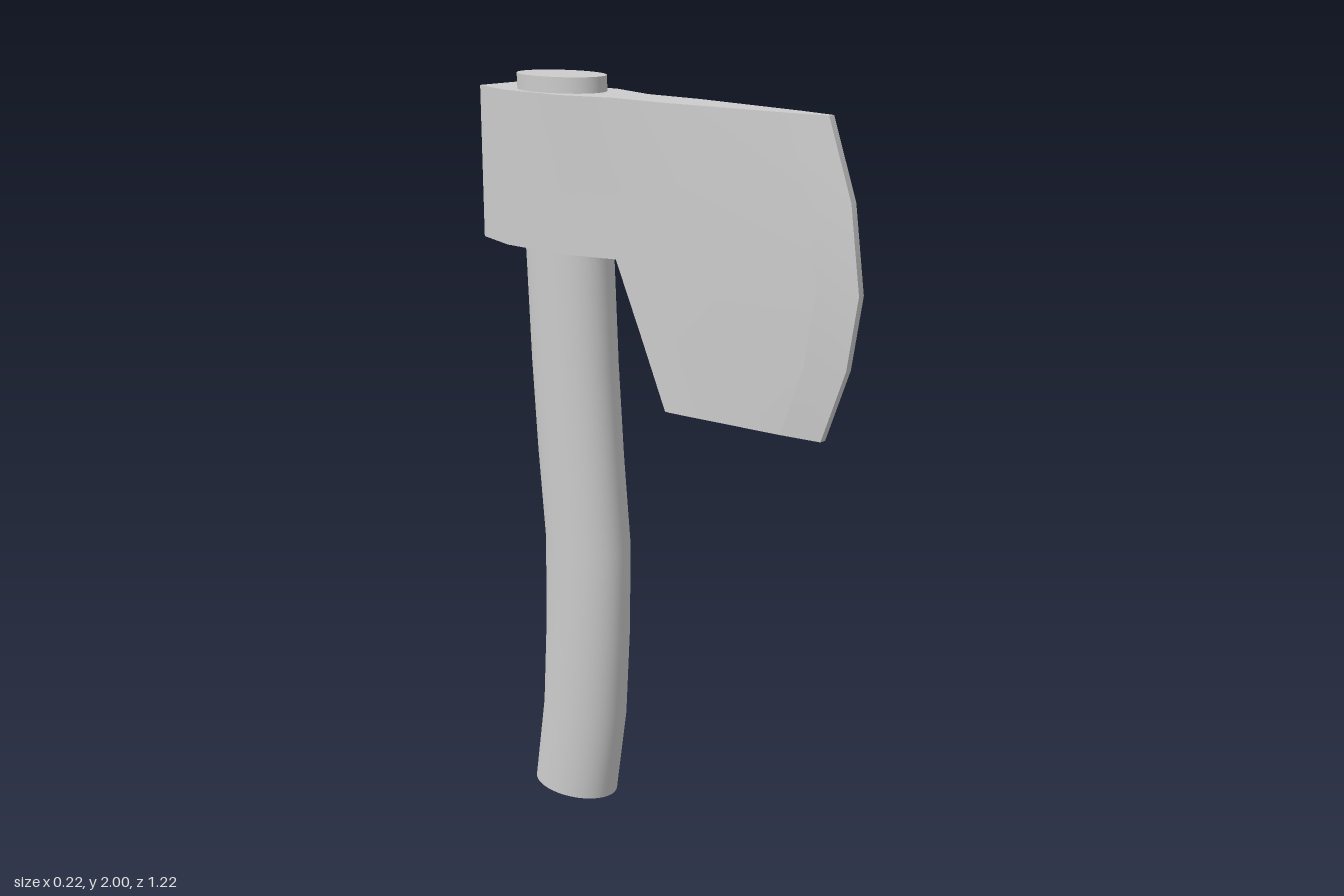
import * as THREE from 'three';
import { mergeGeometries, toCreasedNormals } from 'three/addons/utils/BufferGeometryUtils.js';

const material = new THREE.MeshStandardMaterial({ color: 0xcccccc });

// Mirrored solid from rows (top to bottom), each { y, pts: [[z, halfWidth], ...] } from back to front.
// The back wall starts at row backFrom; the front wall is optional.
function loft(rows, backFrom, front) {
  const pos = [];
  const p = (r, i, s) => [s * rows[r].pts[i][1], rows[r].y, rows[r].pts[i][0]];
  const quad = (a, b, c, d) => pos.push(...a, ...b, ...c, ...a, ...c, ...d);
  const last = rows.length - 1, end = rows[0].pts.length - 1;
  for (let r = 0; r < last; r++) {
    for (let i = 0; i < end; i++) {
      quad(p(r, i, 1), p(r, i + 1, 1), p(r + 1, i + 1, 1), p(r + 1, i, 1));
      quad(p(r, i, -1), p(r + 1, i, -1), p(r + 1, i + 1, -1), p(r, i + 1, -1));
    }
    if (r >= backFrom) quad(p(r, 0, 1), p(r + 1, 0, 1), p(r + 1, 0, -1), p(r, 0, -1));
    if (front) quad(p(r, end, 1), p(r, end, -1), p(r + 1, end, -1), p(r + 1, end, 1));
  }
  for (let i = 0; i < end; i++) {
    quad(p(0, i, 1), p(0, i, -1), p(0, i + 1, -1), p(0, i + 1, 1));
    quad(p(last, i, 1), p(last, i + 1, 1), p(last, i + 1, -1), p(last, i, -1));
  }
  const g = new THREE.BufferGeometry();
  g.setAttribute('position', new THREE.Float32BufferAttribute(pos, 3));
  return g;
}

function addMesh(group, name, geometry, crease) {
  const mesh = new THREE.Mesh(toCreasedNormals(geometry, crease), material);
  mesh.name = name;
  group.add(mesh);
}

export function createModel() {
  const axe = new THREE.Group();
  axe.name = 'axe';

  // Oval handle, bent along its length
  const centres = [-0.355, -0.315, -0.299, -0.294, -0.317, -0.334, -0.345, -0.357, -0.368];
  const handle = new THREE.CylinderGeometry(1, 1, 2, 48, centres.length - 1);
  handle.scale(0.093, 1, 0.136);
  handle.translate(0, 1, 0);
  const pos = handle.attributes.position;
  for (let i = 0; i < pos.count; i++) {
    pos.setZ(i, pos.getZ(i) + centres[Math.round(pos.getY(i) * 4)]);
  }
  addMesh(axe, 'handle', handle, 0.6);

  // Head rows: height, back of blade, start of taper, cutting edge
  const rows = [
    [1.96, -0.12, 0.05, 0.51],
    [1.77, -0.12, 0.09, 0.58],
    [1.56, -0.115, 0.1, 0.61],
    [1.38, -0.03, 0.09, 0.58],
    [1.195, 0.055, 0.075, 0.51],
  ];
  const neck = 0.063, bevel = 0.11, bevelHalf = 0.027, edgeHalf = 0.009;

  // Eye and poll around the handle, widening from the neck
  const eye = loft(rows.slice(0, 3).map(([y, back]) => ({
    y, pts: [[-0.61, 0.065], [-0.47, 0.108], [-0.27, 0.108], [back, neck]],
  })), 0, false);

  // Blade cheeks with the beard hanging below the eye
  const blade = loft(rows.map(([y, back, taper, edge]) => ({
    y, pts: [[back, neck], [taper, neck], [edge - bevel, bevelHalf]],
  })), 2, false);
  addMesh(axe, 'axeHead', mergeGeometries([eye, blade]), 0.5);

  // Curved cutting edge
  const edgeGeometry = loft(rows.map(([y, , , edge]) => ({
    y, pts: [[edge - bevel, bevelHalf], [edge, edgeHalf]],
  })), rows.length, true);
  addMesh(axe, 'cuttingEdge', edgeGeometry, 0.5);

  return axe;
}
